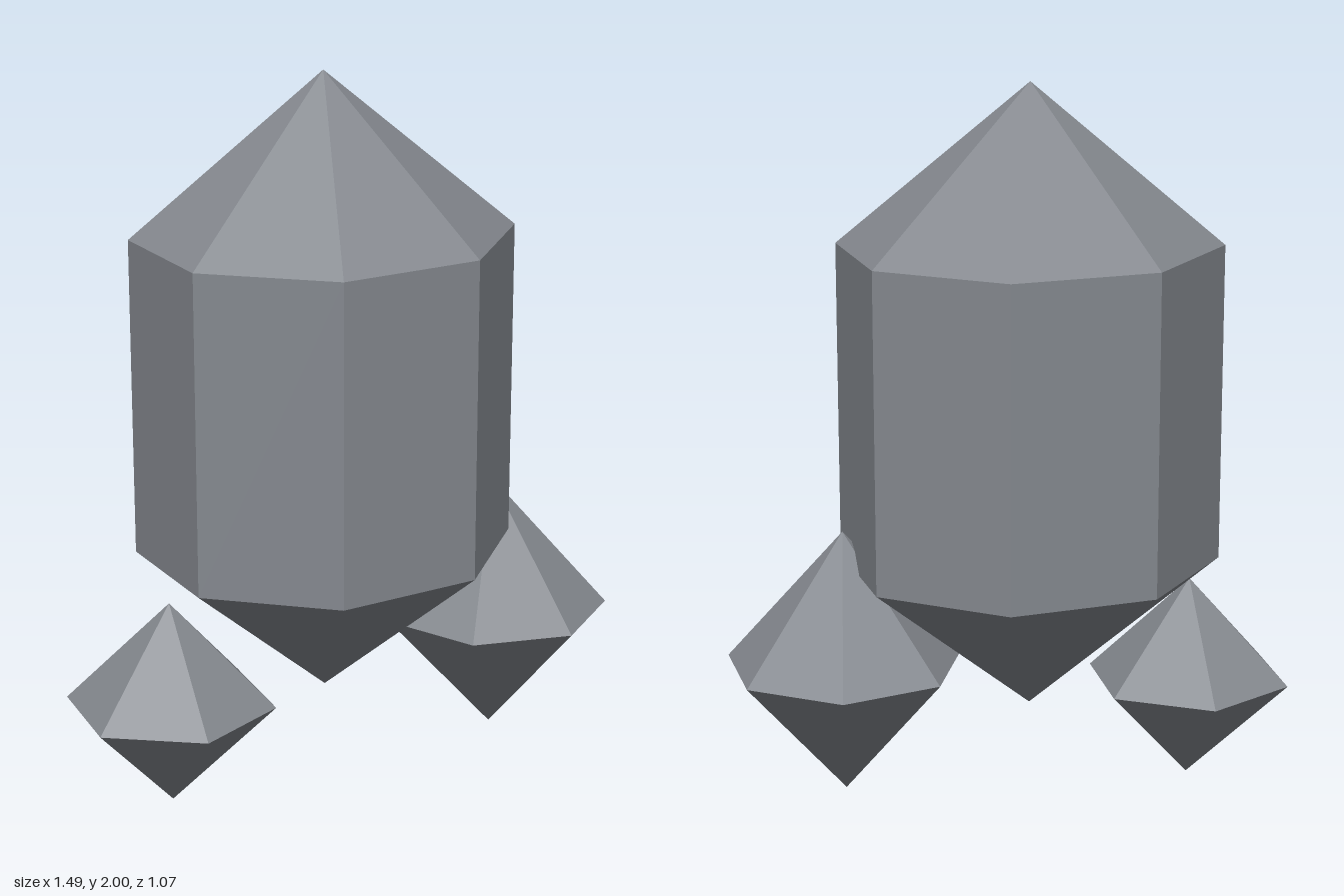
import * as THREE from 'three';

const stone = new THREE.MeshStandardMaterial({ color: 0x85898f, flatShading: true });
stone.name = 'grey crystal';

// One open faceted ring between two heights, with a corner on the +x side
function facetBand(name, sides, rTop, rBottom, yBottom, yTop) {
  const geometry = new THREE.CylinderGeometry(
    rTop, rBottom, yTop - yBottom, sides, 1, true, Math.PI / 2
  ).toNonIndexed();
  geometry.computeVertexNormals();
  const mesh = new THREE.Mesh(geometry, stone);
  mesh.name = name;
  mesh.position.y = (yBottom + yTop) / 2;
  return mesh;
}

// Pointed crystal: lower point, optional straight shaft, upper point
function crystal({ name, sides, x, z, rx, rz, base, low, high, tip }) {
  const group = new THREE.Group();
  group.name = name;
  group.add(facetBand('lowerPoint', sides, 1, 0, base, low));
  if (high > low) group.add(facetBand('shaft', sides, 1, 1, low, high));
  group.add(facetBand('upperPoint', sides, 0, 1, high, tip));
  group.position.set(x, 0, z);
  group.scale.set(rx, 1, rz);
  return group;
}

export function createModel() {
  const model = new THREE.Group();
  model.name = 'crystalCluster';
  model.add(
    // Tall eight-sided crystal
    crystal({ name: 'mainCrystal', sides: 8, x: -0.042, z: -0.036, rx: 0.54, rz: 0.503,
      base: 0.26, low: 0.69, high: 1.565, tip: 2 }),
    // Seven-sided crystal at the front left
    crystal({ name: 'frontCrystal', sides: 7, x: 0.415, z: 0.214, rx: 0.33, rz: 0.33,
      base: 0.05, low: 0.42, high: 0.42, tip: 0.795 }),
    // Six-sided crystal at the back right
    crystal({ name: 'backCrystal', sides: 6, x: -0.46, z: -0.245, rx: 0.288, rz: 0.292,
      base: 0.003, low: 0.294, high: 0.294, tip: 0.585 })
  );
  return model;
}
